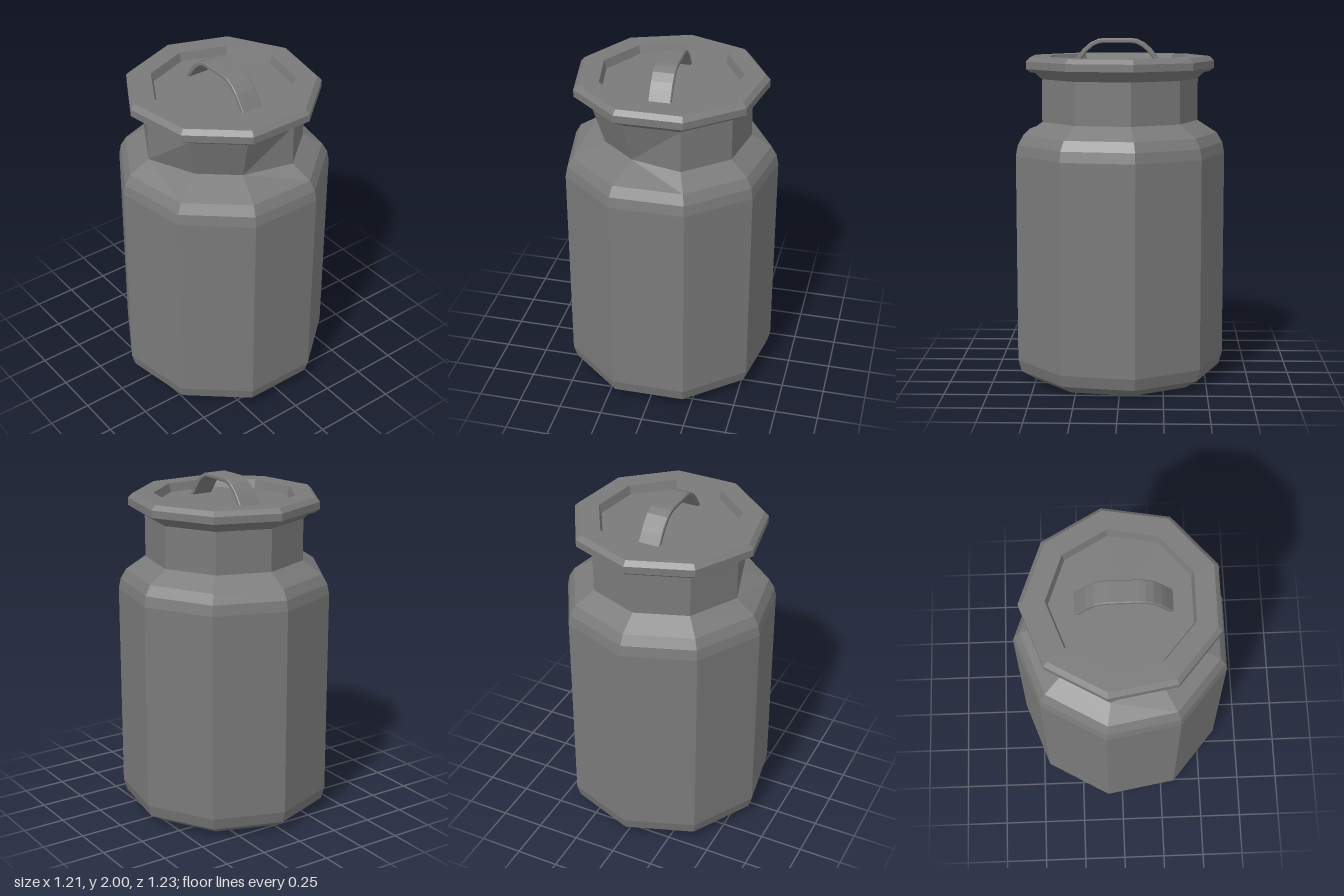
import * as THREE from 'three';

const SIDES = 9;
const CENTRE_X = 0.017;

// Faceted solid of revolution; profile [radius, y] runs from the bottom up the outside.
// radiusAt may alter single corners; flipped lists bands split along the other diagonal.
function loft(profile, radiusAt = (ring, side, r) => r, flipped = []) {
  const point = (ring, side) => {
    const s = side % SIDES;
    const angle = Math.PI + (s * Math.PI * 2) / SIDES;
    const r = radiusAt(ring, s, profile[ring][0]);
    return [r * Math.cos(angle), profile[ring][1], -r * Math.sin(angle)];
  };
  const positions = [];
  for (let i = 0; i < profile.length - 1; i++) {
    for (let s = 0; s < SIDES; s++) {
      // a, b: lower edge left to right; c, d: upper edge right to left
      const a = point(i, s), b = point(i, s + 1);
      const c = point(i + 1, s + 1), d = point(i + 1, s);
      const lowTip = profile[i][0] === 0, highTip = profile[i + 1][0] === 0;
      if (lowTip) positions.push(...a, ...c, ...d);
      else if (highTip) positions.push(...a, ...b, ...d);
      else if (flipped.includes(i)) positions.push(...a, ...b, ...c, ...a, ...c, ...d);
      else positions.push(...a, ...b, ...d, ...b, ...c, ...d);
    }
  }
  const geometry = new THREE.BufferGeometry();
  geometry.setAttribute('position', new THREE.Float32BufferAttribute(positions, 3));
  geometry.computeVertexNormals();
  return geometry;
}

export function createModel() {
  const metal = new THREE.MeshStandardMaterial({ color: 0x7a7a7a, flatShading: true });
  metal.name = 'grey metal';
  const model = new THREE.Group();
  model.name = 'milkCan';

  const add = (name, geometry) => {
    const mesh = new THREE.Mesh(geometry, metal);
    mesh.name = name;
    mesh.position.x = CENTRE_X;
    model.add(mesh);
    return mesh;
  };

  // Can: base, barrel, rounded shoulder, neck and flared mouth
  const canProfile = [
    [0, 0], [0.515, 0], [0.602, 0.055], [0.622, 0.125], [0.622, 1.335],
    [0.61, 1.395], [0.577, 1.452], [0.463, 1.525], [0.463, 1.77], [0.507, 1.812],
  ];
  // Two corners at the foot of the neck are dented inwards
  const neckFoot = 7;
  const dent = (ring, side, r) => (ring === neckFoot && (side === 3 || side === 4) ? 0.386 : r);
  add('can', loft(canProfile, dent, [neckFoot]));

  // Lid: bevelled rim around a sunken centre
  add('lid', loft([
    [0, 1.81], [0.53, 1.81], [0.557, 1.83], [0.557, 1.872], [0.53, 1.898],
    [0.412, 1.898], [0.398, 1.848], [0, 1.848],
  ]));

  // Handle: flat bent strap across the lid
  const outer = [[0.267, 1.845], [0.229, 1.9], [0.2, 1.938], [0.158, 1.975], [0.115, 1.995], [0.08, 2]];
  const inner = [[0.08, 1.974], [0.108, 1.97], [0.142, 1.954], [0.178, 1.922], [0.204, 1.888], [0.236, 1.845]];
  const mirrored = (points) => points.map(([x, y]) => [-x, y]).reverse();
  const outline = [...outer, ...mirrored(outer), ...mirrored(inner), ...inner];
  const strap = new THREE.Shape(outline.map(([x, y]) => new THREE.Vector2(x, y)));
  const bevel = 0.005, width = 0.13;
  const handleGeometry = new THREE.ExtrudeGeometry(strap, {
    depth: width - 2 * bevel, bevelEnabled: true, bevelSegments: 1,
    bevelSize: bevel, bevelThickness: bevel, bevelOffset: -bevel,
  });
  handleGeometry.translate(0.006, 0, bevel - width / 2);
  add('handle', handleGeometry);

  return model;
}
